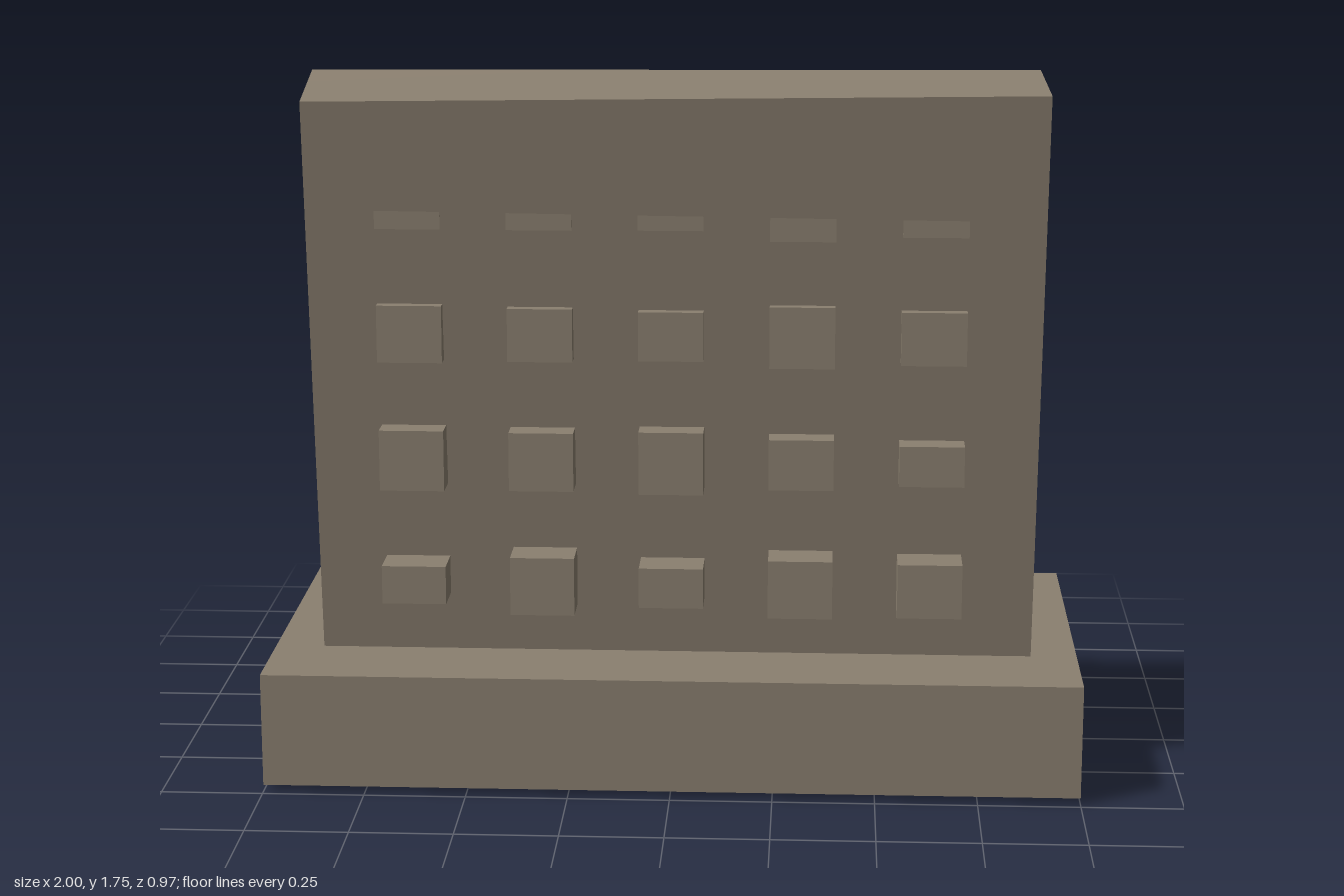
import * as THREE from 'three';

export function createModel() {
  const model = new THREE.Group();
  const stone = new THREE.MeshStandardMaterial({ color: 0x8b8070 });
  stone.name = 'weathered stone';

  const addBox = (parent, name, [w, h, d], [x, y, z]) => {
    const mesh = new THREE.Mesh(new THREE.BoxGeometry(w, h, d), stone);
    mesh.name = name;
    mesh.position.set(x, y, z);
    parent.add(mesh);
    return mesh;
  };

  // Plinth
  addBox(model, 'plinth', [2, 0.283, 0.97], [0, 0.1585, 0]);

  // Leaning slab: a box whose corners are moved slightly out of true
  const corners = {
    // key: left/right, bottom/top, back/front (by sign of x, y, z)
    '---': [-0.885, 0.03, -0.073], '--+': [-0.88, 0.0, 0.21],
    '+--': [0.88, 0.035, -0.073], '+-+': [0.885, 0.005, 0.212],
    '-+-': [-0.89, 1.735, 0.128], '-++': [-0.876, 1.695, 0.41],
    '++-': [0.88, 1.745, 0.134], '+++': [0.89, 1.72, 0.415],
  };
  const slab = addBox(model, 'slab', [1, 1, 1], [0, 0, 0]);
  const pos = slab.geometry.attributes.position;
  const sign = (v) => (v > 0 ? '+' : '-');
  for (let i = 0; i < pos.count; i++) {
    const key = sign(pos.getX(i)) + sign(pos.getY(i)) + sign(pos.getZ(i));
    pos.setXYZ(i, ...corners[key]);
  }
  slab.geometry.computeVertexNormals();

  // Raised blocks: four rows of five with uneven heights, the top row nearly buried
  const blocks = new THREE.Group();
  blocks.name = 'blocks';
  model.add(blocks);
  const heights = [
    [0.095, 0.145, 0.1, 0.145, 0.135],
    [0.15, 0.145, 0.155, 0.125, 0.1],
    [0.14, 0.13, 0.12, 0.15, 0.13],
    [0.115, 0.115, 0.112, 0.16, 0.135],
  ];
  heights.forEach((row, r) => row.forEach((h, c) => {
    addBox(blocks, `block${r + 1}_${c + 1}`, [0.157, h, 0.1],
      [-0.002 + (c - 2) * 0.315, 0.502 + r * 0.314, 0.329]);
  }));

  return model;
}
